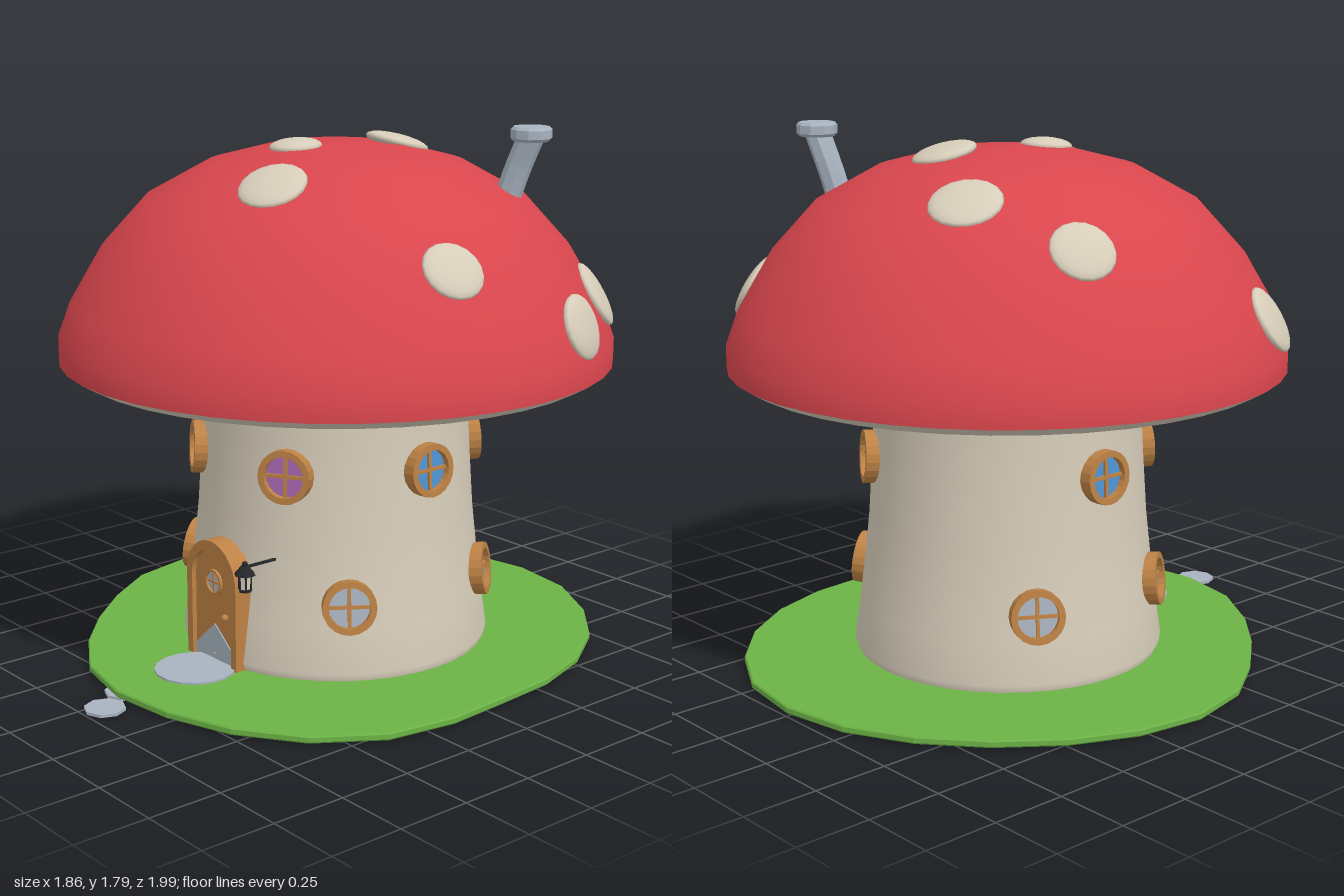
import * as THREE from 'three';

const mat = (name, color, extra = {}) =>
  Object.assign(new THREE.MeshStandardMaterial({ color, ...extra }), { name });

export function createModel() {
  const red = mat('capRed', 0xd9464d);
  const cream = mat('cream', 0xd6ccb9);
  const green = mat('grass', 0x6cb346);
  const wood = mat('wood', 0xbd8245);
  const grey = mat('stoneGrey', 0xa8b3bf);
  const blue = mat('blueGlass', 0x4f93d2);
  const purple = mat('purpleGlass', 0xa868b0);
  const black = mat('blackIron', 0x23272b);
  const CZ = -0.065; // house axis

  const model = new THREE.Group();
  model.name = 'mushroomHouse';
  const add = (name, geo, material, x = 0, y = 0, z = 0, parent = model) => {
    const m = new THREE.Mesh(geo, material);
    m.name = name;
    m.position.set(x, y, z);
    parent.add(m);
    return m;
  };
  const lathe = (pts, seg) => new THREE.LatheGeometry(pts.map(p => new THREE.Vector2(...p)), seg);
  const flat = geo => {
    const g = geo.toNonIndexed();
    g.computeVertexNormals();
    return g;
  };

  // Uneven lawn: one radius every 15 degrees
  const radii = [.835, .88, .935, .95, .94, .925, .92, .90, .86, .84, .85, .89,
    .91, .905, .895, .893, .905, .925, .935, .93, .905, .885, .865, .845];
  const lawn = new THREE.Shape(radii.map((r, i) => {
    const a = i * Math.PI / 12;
    return new THREE.Vector2((r - .004) * Math.cos(a), -((r - .004) * Math.sin(a) + CZ));
  }).reverse());
  const lawnGeo = new THREE.ExtrudeGeometry(lawn, {
    depth: .015, bevelEnabled: true, bevelThickness: .005, bevelSize: .004, bevelSegments: 1,
  }).rotateX(-Math.PI / 2);
  add('lawn', lawnGeo, green, 0, .015, 0);

  // Stem
  const stemProfile = [[.515, .03], [.525, .06], [.505, .2], [.486, .35], [.47, .5],
    [.457, .7], [.449, .85], [.445, 1.09]];
  add('stem', lathe(stemProfile, 40), cream, 0, 0, CZ);

  // Cap and its underside
  const capProfile = [[.93, 1.012], [.93, 1.085], [.888, 1.2], [.78, 1.385], [.63, 1.55],
    [.43, 1.66], [.22, 1.715], [0, 1.73]];
  add('cap', lathe(capProfile, 40), red, 0, 0, CZ);
  add('capLip', lathe([[.88, .983], [.93, 1.012]], 40), cream, 0, 0, CZ);
  add('capUnderside', lathe([[.43, 1.075], [.58, 1.065], [.75, 1.03], [.88, .983]], 40), cream, 0, 0, CZ);

  // Spots laid on the cap surface: x, z, radius
  const spots = [[-.295, -.495, .118], [-.635, -.33, .105], [.065, -.277, .108],
    [-.02, .09, .087], [.2, .36, .112], [.735, .095, .102], [.66, -.62, .115],
    [.835, -.37, .108], [-.77, .37, .115]];
  for (const [x, z, r] of spots) {
    const rho = Math.hypot(x, z - CZ);
    const i = capProfile.findIndex((p, k) => k > 1 && p[0] <= rho);
    const [r0, y0] = capProfile[i - 1], [r1, y1] = capProfile[i];
    const y = y0 + (y1 - y0) * (rho - r0) / (r1 - r0);
    const n = new THREE.Vector3(x / rho * (y1 - y0), r0 - r1, (z - CZ) / rho * (y1 - y0)).normalize();
    const s = add('spot', new THREE.SphereGeometry(1, 18, 10), cream, x, y, z);
    s.scale.set(r, .027, r);
    s.quaternion.setFromUnitVectors(new THREE.Vector3(0, 1, 0), n);
  }

  // Chimney: bent pipe with a flat top
  const bend = new THREE.CatmullRomCurve3([[.435, 1.48, -.41], [.452, 1.57, -.42],
    [.478, 1.66, -.435], [.52, 1.76, -.447]].map(p => new THREE.Vector3(...p)));
  add('chimneyPipe', flat(new THREE.TubeGeometry(bend, 6, .043, 8)), grey);
  add('chimneyTop', flat(lathe([[0, 1.745], [.058, 1.745], [.068, 1.755], [.068, 1.783],
    [.06, 1.792], [0, 1.792]], 10)), grey, .52, 0, -.447);

  // Round windows
  const ringGeo = (outer, inner, depth) => {
    const s = new THREE.Shape().absarc(0, 0, outer, 0, Math.PI * 2, false);
    s.holes.push(new THREE.Path().absarc(0, 0, inner, 0, Math.PI * 2, true));
    return new THREE.ExtrudeGeometry(s, { depth, bevelEnabled: false, curveSegments: 10 });
  };
  const frameGeo = ringGeo(.089, .068, .05);
  const addWindow = (deg, y, r, tilt, glass) => {
    const turn = new THREE.Group();
    turn.name = 'window';
    turn.position.set(0, y, CZ);
    turn.rotation.y = THREE.MathUtils.degToRad(deg);
    const face = new THREE.Group();
    face.name = 'windowFace';
    face.position.z = r;
    face.rotation.x = -tilt;
    turn.add(face);
    model.add(turn);
    add('windowFrame', frameGeo, wood, 0, 0, -.015, face);
    add('windowGlass', new THREE.CircleGeometry(.07, 20), glass, 0, 0, .012, face);
    add('windowBarUpright', new THREE.BoxGeometry(.011, .138, .01), wood, 0, 0, .016, face);
    add('windowBarLevel', new THREE.BoxGeometry(.138, .011, .01), wood, 0, 0, .016, face);
  };
  [[-30, grey], [30, purple], [90, blue], [150, grey], [-90, blue]]
    .forEach(([a, g]) => addWindow(a, .705, .457, .05, g));
  [[-56, blue], [55, grey], [126, blue], [-121, grey]]
    .forEach(([a, g]) => addWindow(a, .285, .495, .12, g));

  // Arched door
  const arch = (Type, half, bottom, spring) => {
    const s = new Type();
    s.moveTo(-half, bottom);
    s.lineTo(half, bottom);
    s.lineTo(half, spring);
    s.absarc(0, spring, half, 0, Math.PI, false);
    s.lineTo(-half, bottom);
    return s;
  };
  const doorFrame = arch(THREE.Shape, .133, .035, .322);
  doorFrame.holes.push(arch(THREE.Path, .105, .036, .318));
  const ext = depth => ({ depth, bevelEnabled: false, curveSegments: 14 });
  add('doorFrame', new THREE.ExtrudeGeometry(doorFrame, ext(.12)), wood, 0, 0, .352);
  add('doorPanel', new THREE.ExtrudeGeometry(arch(THREE.Shape, .106, .035, .318), ext(.1)), wood, 0, 0, .355);
  add('doorWindowFrame', ringGeo(.043, .036, .01), wood, 0, .312, .455);
  add('doorWindowGlass', new THREE.CircleGeometry(.037, 16), grey, 0, .312, .457);
  add('doorWindowBar', new THREE.BoxGeometry(.006, .074, .006), wood, 0, .312, .459);
  add('doorWindowBar', new THREE.BoxGeometry(.074, .006, .006), wood, 0, .312, .459);
  add('doorKnob', new THREE.SphereGeometry(.013, 10, 8), wood, .066, .205, .466);
  const sill = new THREE.Shape([[-.104, .036], [.104, .036], [.104, .08], [.05, .125], [0, .165],
    [-.05, .12], [-.104, .07]].map(p => new THREE.Vector2(...p)));
  add('doorKickPlate', new THREE.ExtrudeGeometry(sill, ext(.004)), grey, 0, 0, .455);

  // Doorstep and path stones
  const step = add('doorstep', flat(new THREE.CylinderGeometry(.135, .135, .012, 16)), grey, .02, .036, .555);
  step.rotation.y = .2;
  add('pathStone', flat(new THREE.CylinderGeometry(.068, .068, .01, 8)), grey, .04, .006, .925);
  add('pathStone', flat(new THREE.CylinderGeometry(.068, .068, .01, 8)), grey, -.03, .006, .8);

  // Lantern beside the door
  const lantern = new THREE.Group();
  lantern.name = 'lantern';
  lantern.position.set(.207, 0, .488);
  model.add(lantern);
  add('lanternRoof', flat(new THREE.CylinderGeometry(.012, .037, .03, 6)), black, 0, .415, 0, lantern);
  add('lanternTip', new THREE.SphereGeometry(.01, 8, 6), black, 0, .435, 0, lantern);
  add('lanternGlass', flat(new THREE.CylinderGeometry(.022, .018, .05, 6)), cream, 0, .376, 0, lantern);
  add('lanternBase', flat(new THREE.CylinderGeometry(.022, .022, .009, 6)), black, 0, .348, 0, lantern);
  for (let i = 0; i < 6; i++) {
    const a = i * Math.PI / 3;
    add('lanternBar', new THREE.BoxGeometry(.005, .054, .005), black,
      .021 * Math.sin(a), .376, .021 * Math.cos(a), lantern);
  }
  add('lanternArm', new THREE.BoxGeometry(.008, .008, .13), black, 0, .425, -.065, lantern);

  return model;
}
